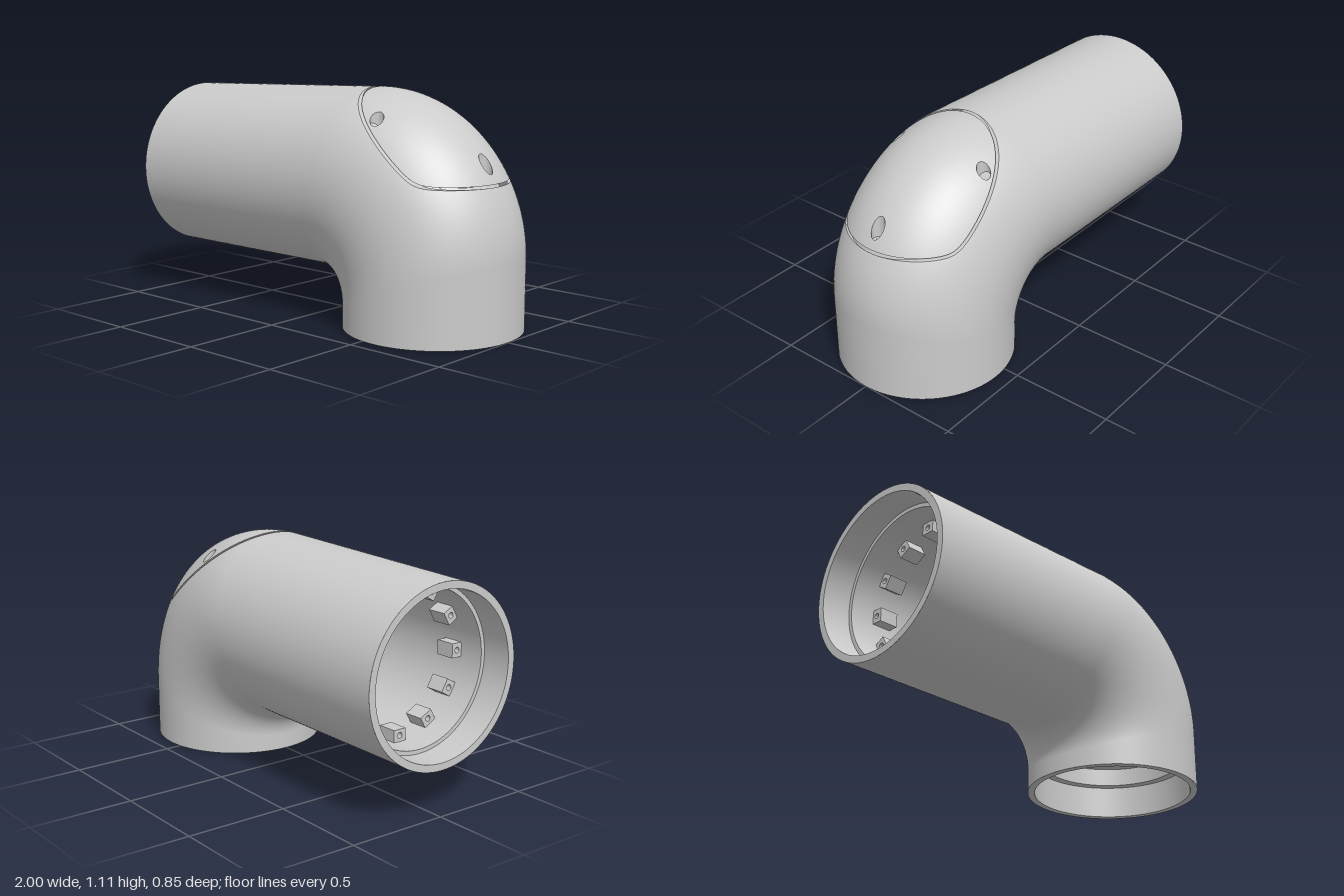
import * as THREE from 'three';

const HALF_WIDTH = 0.427, GAP = 0.006;
const material = new THREE.MeshStandardMaterial({ color: 0xcccccc, side: THREE.DoubleSide });

// A station is [lower x, lower y, upper x, upper y, inset]: the two ends of a section's long axis.
const across = (x, inset = 0) => [x, 0.22, x, 1.07 + 0.033 * (x + 1), inset];
const upright = (y, inset = 0) => [0.146, y, 1, y, inset];
function bend(angle, inset = 0) {
  const s = Math.sin(angle), c = Math.cos(angle);
  return [0.006 + 0.14 * s, 0.08 + 0.14 * c, 0.25 + 0.75 * s, 0.361 + 0.75 * c, inset];
}
function between(a, b, n) {
  return Array.from({ length: n }, (_, i) => a.map((v, k) => v + (b[k] - v) * i / n));
}

// Elliptical sections joined into a tube
function sweep(stations, sides) {
  const pos = [], index = [];
  stations.forEach(([ax, ay, bx, by, inset], i) => {
    const len = Math.hypot(bx - ax, by - ay), h = len / 2 - inset;
    for (let j = 0; j < sides; j++) {
      const p = j / sides * Math.PI * 2, k = Math.cos(p) * h / len;
      pos.push((ax + bx) / 2 + (bx - ax) * k, (ay + by) / 2 + (by - ay) * k, Math.sin(p) * (HALF_WIDTH - inset));
      if (i + 1 < stations.length) {
        const a = i * sides + j, b = i * sides + (j + 1) % sides;
        index.push(a, b, a + sides, b, b + sides, a + sides);
      }
    }
  });
  const geo = new THREE.BufferGeometry();
  geo.setAttribute('position', new THREE.Float32BufferAttribute(pos, 3));
  geo.setIndex(index);
  geo.computeVertexNormals();
  return geo;
}

// Triangles as lists of [x, y, z, nx, ny, nz], so they can be cut
function toTriangles(geo) {
  const { position: p, normal: n } = geo.attributes, idx = geo.index.array, tris = [];
  const corner = i => [p.getX(i), p.getY(i), p.getZ(i), n.getX(i), n.getY(i), n.getZ(i)];
  for (let i = 0; i < idx.length; i += 3) tris.push([corner(idx[i]), corner(idx[i + 1]), corner(idx[i + 2])]);
  return tris;
}
function fromTriangles(tris) {
  const pos = [], nor = [];
  for (const v of tris.flat()) {
    pos.push(v[0], v[1], v[2]);
    nor.push(v[3], v[4], v[5]);
  }
  const geo = new THREE.BufferGeometry();
  geo.setAttribute('position', new THREE.Float32BufferAttribute(pos, 3));
  geo.setAttribute('normal', new THREE.Float32BufferAttribute(nor, 3));
  return geo;
}

// Keep the side where keep(x, y, z) > 0 and collect the cut edges
function cut(tris, keep, edges = []) {
  const result = [];
  for (const tri of tris) {
    const d = tri.map(v => keep(v[0], v[1], v[2])), poly = [], crossing = [];
    for (let k = 0; k < 3; k++) {
      const m = (k + 1) % 3;
      if (d[k] > 0) poly.push(tri[k]);
      if ((d[k] > 0) !== (d[m] > 0)) {
        const t = d[k] / (d[k] - d[m]);
        const v = tri[k].map((c, i) => c + (tri[m][i] - c) * t);
        poly.push(v);
        crossing.push(v);
      }
    }
    for (let k = 1; k + 1 < poly.length; k++) result.push([poly[0], poly[k], poly[k + 1]]);
    if (crossing.length === 2) edges.push(crossing);
  }
  return result;
}

// Wall from every cut edge to its moved copy
function wall(edges, move) {
  const pos = [];
  for (const [a, b] of edges) {
    const p = a.slice(0, 3), q = b.slice(0, 3), pm = move(...p), qm = move(...q);
    pos.push(...p, ...q, ...qm, ...p, ...qm, ...pm);
  }
  const geo = new THREE.BufferGeometry();
  geo.setAttribute('position', new THREE.Float32BufferAttribute(pos, 3));
  geo.computeVertexNormals();
  return geo;
}

// Distance above the parting line: a slope that eases into a level
function aboveParting(x, y) {
  const slope = 1.11 - 0.833 * (x - 0.225), level = 0.7, diff = slope - level;
  const root = Math.sqrt(diff * diff + 0.0016);
  const steep = -0.833 * 0.5 * (1 + diff / root);
  return (y - 0.5 * (slope + level + root)) / Math.hypot(1, steep);
}

function circlePath(x, y, r) {
  return new THREE.Path().absarc(x, y, r, 0, Math.PI * 2, true);
}

export function createModel() {
  const group = new THREE.Group();
  const add = (name, geo, parent = group) => {
    const mesh = new THREE.Mesh(geo, material);
    mesh.name = name;
    parent.add(mesh);
    return mesh;
  };

  // Outer skin, parted into the elbow and its cover
  const bends = Array.from({ length: 91 }, (_, i) => i / 90 * Math.PI / 2);
  const skin = toTriangles(sweep([
    ...between(across(-1), bend(0), 30), ...bends.map(a => bend(a)),
    ...between(bend(Math.PI / 2), upright(0), 8).slice(1), upright(0)], 192));
  const inBody = (x, y) => -aboveParting(x, y) - GAP;
  const bodyEdges = [], coverEdges = [];
  add('elbowBody', fromTriangles(cut(skin, inBody, bodyEdges)));
  add('coverSeat', wall(bodyEdges, (x, y, z) => [x, y, z * 0.86]));

  // Cover with three counterbored screw holes
  const cover = new THREE.Group();
  cover.name = 'cover';
  group.add(cover);
  let coverSkin = cut(skin, (x, y) => aboveParting(x, y) - GAP, coverEdges);
  const r = 0.032;
  for (const [hx, hz, floor] of [[0.44, 0.255, 0.94], [0.44, -0.255, 0.94], [0.86, 0, 0.73]]) {
    const edges = [];
    coverSkin = cut(coverSkin, (x, y, z) => Math.hypot(x - hx, z - hz) - r, edges);
    add('screwHole', wall(edges, (x, y, z) => [x, floor, z]), cover);
    const seat = add('screwSeat', new THREE.RingGeometry(0.014, r, 24), cover);
    seat.rotation.x = -Math.PI / 2;
    seat.position.set(hx, floor, hz);
  }
  add('coverShell', fromTriangles(coverSkin), cover);
  add('coverUnderside', wall(coverEdges, (x, y) => [x, y, 0]), cover);

  // Inner lining of the bend and the long arm
  const lining = toTriangles(sweep([
    ...bends.filter((_, i) => i % 3 === 0).reverse().map(a => bend(a, 0.055)),
    ...between(bend(0, 0.055), across(-0.85, 0.055), 12).slice(1), across(-0.85, 0.055)], 96));
  add('lining', fromTriangles(cut(lining, inBody)));

  // Rims, bores and steps of both openings
  const bands = {
    armStep: [across(-0.85, 0.055), across(-0.85, 0.035)],
    armBore: [across(-0.85, 0.035), across(-1, 0.035)],
    armRim: [across(-1, 0.035), across(-1)],
    baseRim: [upright(0), upright(0, 0.035)],
    baseBore: [upright(0, 0.035), upright(0.16, 0.035)],
    baseStep: [upright(0.16, 0.035), upright(0.16, 0.08)],
    baseCollar: [upright(0.16, 0.08), upright(0.25, 0.08)],
  };
  for (const [name, stations] of Object.entries(bands)) add(name, sweep(stations, 96));

  // Mounting plate with a ring of small holes
  const plateShape = new THREE.Shape().absarc(0, 0, 0.35, 0, Math.PI * 2);
  plateShape.holes.push(circlePath(0, 0, 0.22));
  for (let i = 0; i < 28; i++) {
    const a = i / 28 * Math.PI * 2;
    plateShape.holes.push(circlePath(0.285 * Math.cos(a), 0.285 * Math.sin(a), 0.012));
  }
  const plate = add('mountingPlate', new THREE.ExtrudeGeometry(plateShape, { depth: 0.02, bevelEnabled: false, curveSegments: 48 }));
  plate.rotation.x = -Math.PI / 2;
  plate.position.set(0.573, 0.25, 0);

  // Drilled blocks around the inside of the arm
  const blockShape = new THREE.Shape([[-0.035, 0], [0.035, 0], [0.035, 0.06], [-0.035, 0.06]]
    .map(p => new THREE.Vector2(...p)));
  blockShape.holes.push(circlePath(0, 0.03, 0.014));
  const blockGeo = new THREE.ExtrudeGeometry(blockShape, { depth: 0.1, bevelEnabled: false });
  blockGeo.rotateY(Math.PI / 2);
  for (let i = 0; i < 12; i++) {
    const pivot = new THREE.Group();
    pivot.name = 'mountingBlock';
    pivot.position.set(-0.72, 0.65, 0);
    pivot.rotation.x = i * Math.PI / 6;
    add('drilledBlock', blockGeo, pivot).position.y = 0.315;
    group.add(pivot);
  }
  return group;
}
